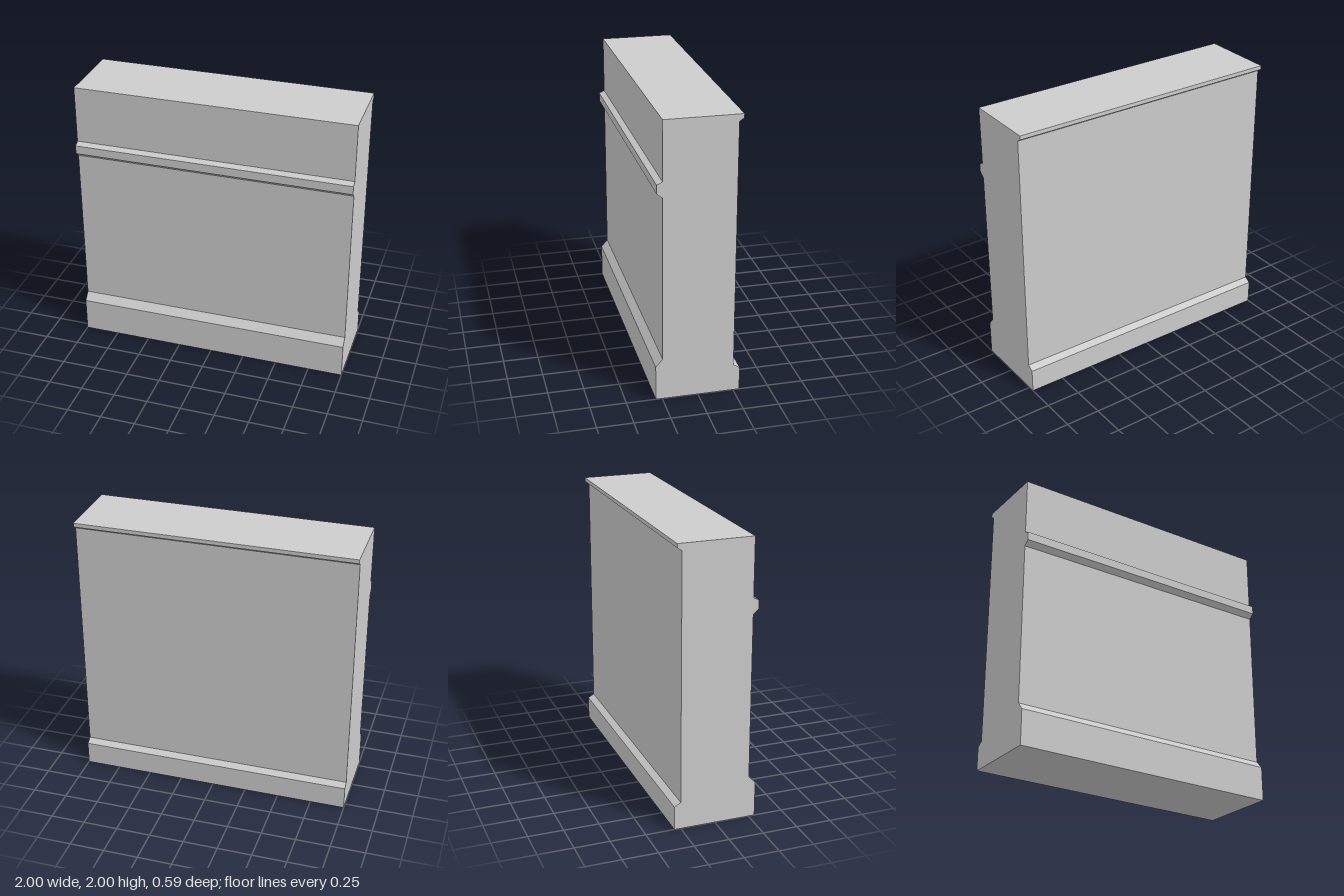
import * as THREE from 'three';

export function createModel() {
  const group = new THREE.Group();
  group.name = 'wallSegment';

  const plaster = new THREE.MeshStandardMaterial({ color: 0xcccccc });
  plaster.name = 'plaster grey';

  // Side profile as [z, y] points
  const frontPlinth = [[0.295, 0], [0.295, 0.25], [0.247, 0.305]];
  const frontRail = [[0.247, 1.475], [0.286, 1.507], [0.286, 1.568], [0.247, 1.587]];
  const topEdge = [[0.247, 2], [-0.282, 2]];
  const backLip = [[-0.282, 1.972], [-0.25, 1.951]];
  const backPlinth = [[-0.25, 0.197], [-0.295, 0.17], [-0.295, 0]];
  const profile = [...frontPlinth, ...frontRail, ...topEdge, ...backLip, ...backPlinth];

  // Extrude along the wall's length, then turn the length onto x
  const shape = new THREE.Shape(profile.map(([z, y]) => new THREE.Vector2(-z, y)));
  const geometry = new THREE.ExtrudeGeometry(shape, { depth: 2, bevelEnabled: false });
  geometry.translate(0, 0, -1).rotateY(Math.PI / 2);

  const wall = new THREE.Mesh(geometry, plaster);
  wall.name = 'mouldedWall';
  group.add(wall);
  return group;
}
